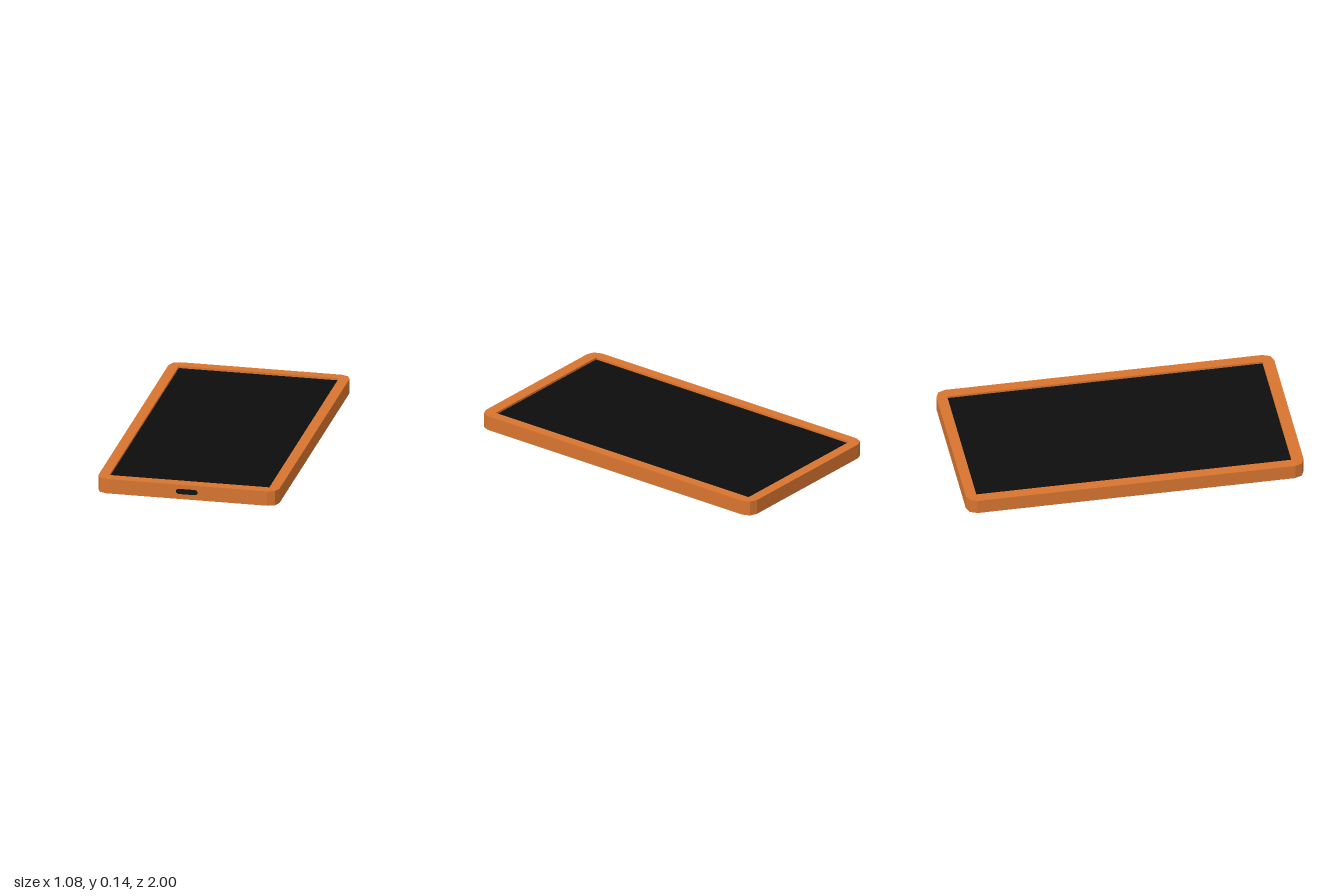
import * as THREE from 'three';

const orange = new THREE.MeshStandardMaterial({ color: 0xd87530, flatShading: true });
const black = new THREE.MeshStandardMaterial({ color: 0x0d0d0d, flatShading: true });

function part(group, name, geometry, material) {
  const mesh = new THREE.Mesh(geometry, material);
  mesh.name = name;
  group.add(mesh);
  return mesh;
}

// Rectangle with two-facet corners, centred on the origin
function roundedOutline(halfW, halfH, r) {
  const points = [];
  const corners = [[1, 1], [-1, 1], [-1, -1], [1, -1]];
  corners.forEach(([sx, sy], i) => {
    for (let k = 0; k <= 2; k++) {
      const a = (i + k / 2) * Math.PI / 2;
      points.push(new THREE.Vector2(
        sx * (halfW - r) + r * Math.cos(a),
        sy * (halfH - r) + r * Math.sin(a)));
    }
  });
  return points;
}

// Extrudes a plan shape (x, z) downwards from top to bottom
function slab(shape, top, bottom) {
  const geometry = new THREE.ExtrudeGeometry(shape, { depth: top - bottom, bevelEnabled: false });
  return geometry.rotateX(Math.PI / 2).translate(0, top, 0);
}

export function createModel() {
  const model = new THREE.Group();
  model.name = 'phone';

  // Body with a raised rim around the recessed screen
  const outline = roundedOutline(0.54, 1, 0.06);
  part(model, 'body', slab(new THREE.Shape(outline), 0.122, 0.048), orange);
  const rimShape = new THREE.Shape(outline);
  rimShape.holes.push(new THREE.Path([
    new THREE.Vector2(-0.477, -0.937), new THREE.Vector2(-0.477, 0.93),
    new THREE.Vector2(0.477, 0.93), new THREE.Vector2(0.477, -0.937)]));
  part(model, 'screenRim', slab(rimShape, 0.137, 0.122), orange);
  part(model, 'screen', new THREE.BoxGeometry(0.954, 0.004, 1.867), black)
    .position.set(0, 0.122, -0.0035);

  // Charging port in the front edge
  const portShape = new THREE.Shape(roundedOutline(0.065, 0.016, 0.0155));
  part(model, 'chargingPort',
    new THREE.ExtrudeGeometry(portShape, { depth: 0.02, bevelEnabled: false }), black)
    .position.set(0, 0.095, 0.981);

  // Camera plate, tapering towards the back of the phone
  const plate = new THREE.BoxGeometry(0.95, 0.037, 0.51);
  const p = plate.attributes.position;
  for (let i = 0; i < p.count; i++) {
    if (p.getY(i) < 0) {
      p.setX(i, p.getX(i) - Math.sign(p.getX(i)) * 0.01);
      p.setZ(i, p.getZ(i) - Math.sign(p.getZ(i)) * 0.006);
    }
  }
  part(model, 'cameraPlate', plate, orange).position.set(0, 0.0305, -0.676);

  // Three lenses: an open ring around a recessed glass
  for (const [x, z] of [[0.31, -0.79], [0.31, -0.56], [0.125, -0.675]]) {
    const lens = new THREE.Group();
    lens.name = 'lens';
    lens.position.set(x, 0, z);
    const profile = [[0.07, 0], [0.082, 0], [0.082, 0.016], [0.07, 0.016], [0.07, 0]]
      .map(([r, y]) => new THREE.Vector2(r, y));
    part(lens, 'lensRing', new THREE.LatheGeometry(profile, 16), orange);
    part(lens, 'lensGlass', new THREE.CylinderGeometry(0.071, 0.071, 0.012, 16), black)
      .position.y = 0.01;
    model.add(lens);
  }

  // Small sensor and flash discs
  const disc = new THREE.CylinderGeometry(0.034, 0.034, 0.008, 16);
  part(model, 'sensor', disc, black).position.set(-0.345, 0.0145, -0.56);
  part(model, 'flash', disc, orange).position.set(-0.345, 0.0145, -0.83);

  return model;
}
